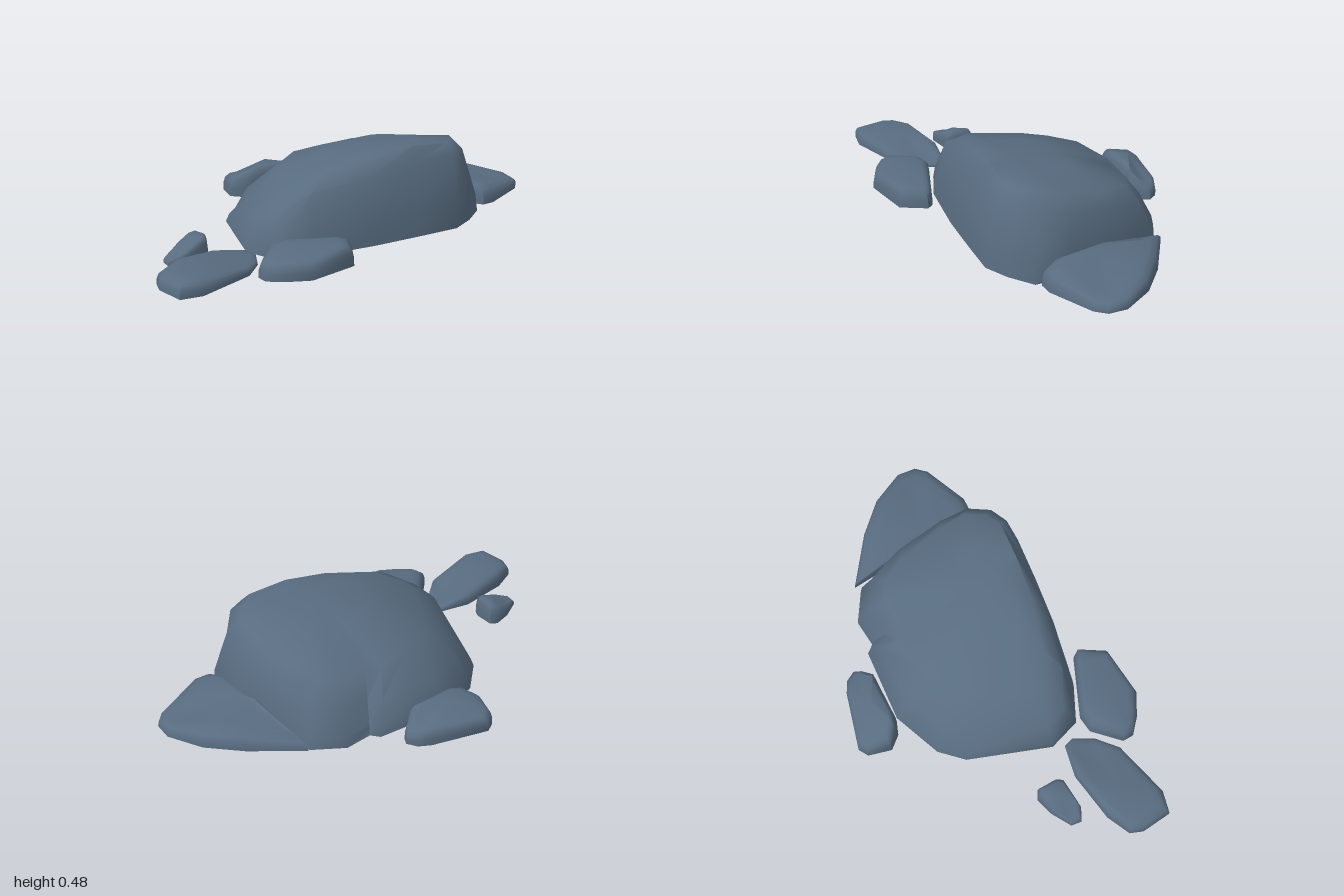
import * as THREE from 'three';
import { toCreasedNormals } from 'three/addons/utils/BufferGeometryUtils.js';

const slate = new THREE.MeshStandardMaterial({ color: 0x586c80, side: THREE.DoubleSide });
slate.name = 'slate stone';

const lerp = THREE.MathUtils.lerp;

// Skin a stack of closed rings (counter-clockwise from above), capped at a crown point and open below
function loft(name, rings, crown) {
  const n = rings[0].length;
  const index = [];
  for (let r = 0; r < rings.length - 1; r++) {
    for (let i = 0; i < n; i++) {
      const j = (i + 1) % n;
      const a = r * n + i, b = r * n + j;
      index.push(a, b, b + n, a, b + n, a + n);
    }
  }
  const last = (rings.length - 1) * n;
  for (let i = 0; i < n; i++) index.push(last + i, last + ((i + 1) % n), rings.length * n);
  const geometry = new THREE.BufferGeometry();
  geometry.setAttribute('position', new THREE.Float32BufferAttribute([...rings.flat(2), ...crown], 3));
  geometry.setIndex(index);
  const mesh = new THREE.Mesh(toCreasedNormals(geometry, 0.95), slate);
  mesh.name = name;
  return mesh;
}

// Small stone: outline points [x, z, topY] above a level base, shrinking toward the crown as it rises
function stone(name, base, crown, outline) {
  const steps = [[1, 0], [0.995, 0.4], [0.95, 0.72], [0.84, 0.93], [0.68, 1]];
  const rings = steps.map(([s, t]) => outline.map(([x, z, top]) => [
    lerp(crown[0], x, s), lerp(base, top, t), lerp(crown[2], z, s),
  ]));
  return loft(name, rings, crown);
}

// Large boulder: each section runs base [x, z], shoulder [x, z, y], crest [x, z, y]
function boulder() {
  const crown = [0.2, 0.47, -0.05];
  const sections = [
    [[-0.42, 0.36], [-0.40, 0.29, 0.24], [-0.30, 0.18, 0.345]],
    [[-0.22, 0.35], [-0.22, 0.28, 0.34], [-0.15, 0.18, 0.405]],
    [[0.10, 0.25], [0.08, 0.20, 0.37], [0.10, 0.13, 0.45]],
    [[0.33, 0.16], [0.31, 0.11, 0.40], [0.31, 0.05, 0.478]],
    [[0.55, 0.07], [0.54, 0.00, 0.41], [0.50, -0.03, 0.462]],
    [[0.64, -0.04], [0.60, -0.08, 0.41], [0.55, -0.11, 0.453]],
    [[0.71, -0.17], [0.63, -0.20, 0.36], [0.56, -0.22, 0.44]],
    [[0.62, -0.35], [0.57, -0.34, 0.34], [0.50, -0.34, 0.405]],
    [[0.45, -0.57], [0.42, -0.56, 0.30], [0.36, -0.53, 0.355]],
    [[0.30, -0.77], [0.29, -0.70, 0.22], [0.24, -0.62, 0.325]],
    [[0.12, -0.78], [0.13, -0.70, 0.22], [0.13, -0.62, 0.32]],
    [[0.00, -0.70], [0.00, -0.62, 0.19], [0.00, -0.54, 0.315]],
    [[-0.05, -0.72], [-0.07, -0.65, 0.20], [-0.08, -0.55, 0.31]],
    [[-0.40, -0.56], [-0.36, -0.50, 0.19], [-0.24, -0.40, 0.33]],
    [[-0.57, -0.35, 0], [-0.50, -0.31, 0.17], [-0.34, -0.25, 0.315]],
    [[-0.62, -0.20], [-0.51, -0.16, 0.17], [-0.37, -0.12, 0.315]],
    [[-0.55, 0.24], [-0.49, 0.21, 0.20], [-0.36, 0.14, 0.32]],
  ];
  // Ring a share of the way up the wall
  const wall = (h, v) => sections.map(([[x, z, y = 0.03], s]) =>
    [lerp(x, s[0], h), lerp(y, s[2], v), lerp(z, s[1], h)]);
  // Ring a share of the way from crest to crown, slightly domed
  const top = (t, v) => sections.map(([, , c]) =>
    [lerp(c[0], crown[0], t), lerp(c[2], crown[1], v), lerp(c[1], crown[2], t)]);
  return loft('mainBoulder', [wall(0, 0), wall(0.15, 0.3), wall(1, 1), top(0, 0), top(0.5, 0.7)], crown);
}

export function createModel() {
  const group = new THREE.Group();
  group.name = 'rockCluster';

  group.add(boulder());

  // Split wedge with its flat face toward the boulder
  group.add(stone('splitWedge', 0.05, [0.60, 0.162, -0.45], [
    [0.31, -0.80, 0.10], [0.50, -0.52, 0.16], [0.70, -0.23, 0.16],
    [0.75, -0.20, 0.155], [0.81, -0.23, 0.155], [0.98, -0.43, 0.11],
    [1.00, -0.50, 0.10], [0.96, -0.59, 0.11], [0.80, -0.70, 0.13], [0.60, -0.76, 0.14],
  ]));

  group.add(stone('frontStone', 0.04, [-0.27, 0.157, 0.51], [
    [-0.52, 0.60, 0.14], [-0.49, 0.65, 0.13], [-0.40, 0.67, 0.13],
    [-0.27, 0.67, 0.13], [-0.05, 0.52, 0.15], [-0.04, 0.37, 0.14],
    [-0.08, 0.35, 0.145], [-0.40, 0.38, 0.155], [-0.47, 0.43, 0.15],
  ]));

  group.add(stone('frontSideStone', 0.045, [-0.77, 0.13, 0.56], [
    [-1.00, 0.62, 0.12], [-0.99, 0.69, 0.12], [-0.90, 0.82, 0.12],
    [-0.79, 0.79, 0.12], [-0.56, 0.58, 0.09], [-0.51, 0.45, 0.07],
    [-0.51, 0.34, 0.07], [-0.55, 0.30, 0.08], [-0.71, 0.35, 0.11], [-0.92, 0.51, 0.13],
  ]));

  group.add(stone('pebble', 0.035, [-0.82, 0.135, 0.27], [
    [-0.96, 0.33, 0.07], [-0.94, 0.38, 0.07], [-0.87, 0.38, 0.09], [-0.74, 0.29, 0.14],
    [-0.74, 0.25, 0.15], [-0.79, 0.16, 0.14], [-0.83, 0.16, 0.13], [-0.90, 0.23, 0.10],
  ]));

  // Tallest along the side that leans on the boulder
  group.add(stone('backStone', 0.03, [-0.37, 0.20, -0.68], [
    [-0.60, -0.70, 0.13], [-0.57, -0.58, 0.15], [-0.49, -0.55, 0.18],
    [-0.42, -0.56, 0.19], [-0.19, -0.68, 0.18], [-0.16, -0.75, 0.13],
    [-0.16, -0.79, 0.11], [-0.21, -0.82, 0.11], [-0.28, -0.82, 0.12], [-0.57, -0.75, 0.11],
  ]));

  return group;
}
